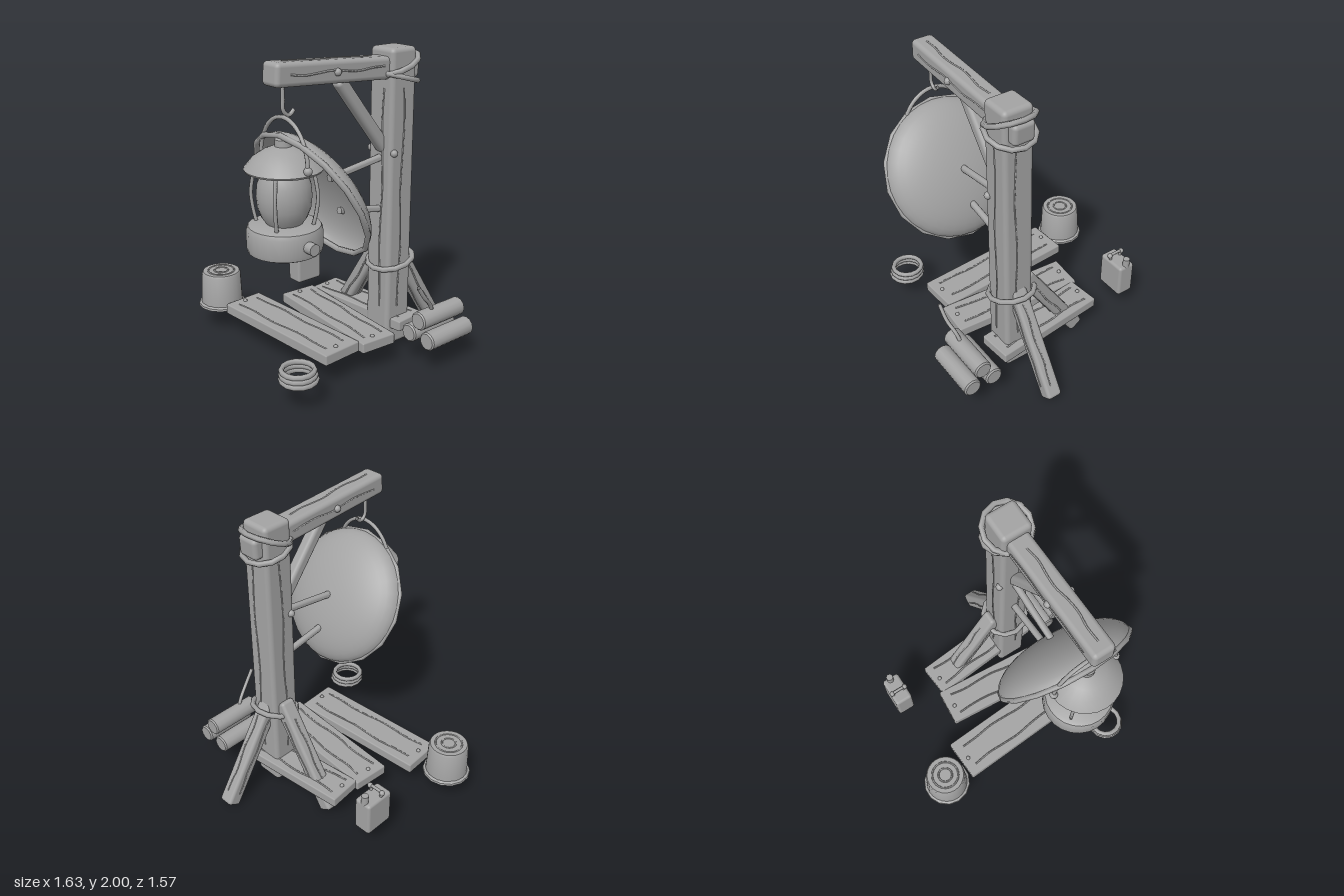
import * as THREE from 'three';
import { toCreasedNormals } from 'three/addons/utils/BufferGeometryUtils.js';
import { RoundedBoxGeometry } from 'three/addons/geometries/RoundedBoxGeometry.js';

export function createModel() {
  const model = new THREE.Group();
  const grey = new THREE.MeshStandardMaterial({ color: 0xa3a3a3, side: THREE.DoubleSide });
  grey.name = 'plain grey';
  const V = (x, y, z) => new THREE.Vector3(x, y, z);
  const UP = V(0, 1, 0);

  function add(name, geo, pos = [0, 0, 0], parent = model) {
    const m = new THREE.Mesh(geo, grey);
    m.name = name;
    m.position.set(...pos);
    parent.add(m);
    return m;
  }
  function group(name, pos, parent = model) {
    const g = new THREE.Group();
    g.name = name;
    g.position.set(...pos);
    parent.add(g);
    return g;
  }
  // Stands a y-aligned part between two points
  function between(name, a, b, makeGeo) {
    const d = b.clone().sub(a);
    const m = add(name, makeGeo(d.length()), a.clone().add(b).multiplyScalar(0.5).toArray());
    m.quaternion.setFromUnitVectors(UP, d.normalize());
    return m;
  }
  const timber = (w, d, r = 0.022) => (h) => new RoundedBoxGeometry(w, h, d, 2, r);
  const rod = (r, sides = 10) => (h) => toCreasedNormals(new THREE.CylinderGeometry(r, r, h, sides), 0.9);
  const lathe = (pts, sides = 24) =>
    toCreasedNormals(new THREE.LatheGeometry(pts.map(([r, y]) => new THREE.Vector2(r, y)), sides), 0.6);
  const tube = (pts, r, n = 20, sides = 6) =>
    new THREE.TubeGeometry(new THREE.CatmullRomCurve3(pts), n, r, sides);
  const ball = (name, r, pos, parent) => add(name, new THREE.SphereGeometry(r, 12, 8), pos, parent);

  // Thin wavy wood grain line from a to b, swaying along "sway"
  function grain(a, b, sway, parent = model, phase = 0) {
    const pts = [];
    for (let i = 0; i <= 7; i++) {
      pts.push(a.clone().lerp(b, i / 7).addScaledVector(sway, Math.sin(i * 1.7 + phase)));
    }
    add('woodGrain', tube(pts, 0.006, 24, 5), [0, 0, 0], parent);
  }

  // Post, beam and braces
  const X = 0.287, Z = -0.29;
  add('post', new RoundedBoxGeometry(0.205, 1.965, 0.205, 3, 0.03), [X, 1.0125, Z]);
  for (const s of [-1, 1]) {
    grain(V(X + 0.02, 0.3, Z + s * 0.102), V(X + 0.03, 1.75, Z + s * 0.102), V(0.008, 0, 0), model, s);
    grain(V(X + s * 0.102, 0.3, Z + 0.01), V(X + s * 0.102, 1.75, Z), V(0, 0, 0.008), model, s);
  }
  const beam = group('beam', [X, 1.893, 0.1]);
  beam.rotation.x = -0.06;
  add('beamTimber', new RoundedBoxGeometry(0.148, 0.138, 1.1, 3, 0.028), [0, 0, 0], beam);
  grain(V(0, 0.068, -0.2), V(0.01, 0.068, 0.47), V(0.01, 0, 0), beam);
  for (const s of [-1, 1]) {
    grain(V(s * 0.073, 0.01, -0.25), V(s * 0.073, 0.0, 0.46), V(0, 0.008, 0), beam, s);
    ball('beamBolt', 0.023, [s * 0.076, 0, 0.12], beam);
    ball('postBolt', 0.024, [X + s * 0.103, 1.35, -0.215]);
  }
  between('diagonalBrace', V(X, 1.84, 0.155), V(X, 1.36, -0.225), timber(0.08, 0.08, 0.025));
  between('upperDishRod', V(X, 1.25, 0.22), V(X, 1.31, -0.2), rod(0.023));
  between('lowerDishRod', V(X, 1.03, 0.14), V(X, 0.97, -0.2), rod(0.023));
  const legs = [
    between('sideLeg', V(-0.235, 0.01, -0.3), V(0.2, 0.69, -0.3), timber(0.105, 0.105)),
    between('backLeg', V(X, 0.01, -0.75), V(X, 0.67, -0.335), timber(0.105, 0.105)),
  ];
  legs.forEach((leg, i) => {
    for (const s of [-1, 1]) {
      grain(V(0.005, -0.3, s * 0.052), V(0.01, 0.27, s * 0.052), V(0.006, 0, 0), leg, i);
      grain(V(s * 0.052, -0.3, 0), V(s * 0.052, 0.27, 0), V(0, 0, 0.006), leg, i);
    }
  });

  // Rope lashings
  for (const [y, tilt] of [[1.89, 0.4], [1.81, -0.27], [0.605, 0.23]]) {
    const r = add('ropeLashing', new THREE.TorusGeometry(0.15, 0.018, 6, 12), [X, y, -0.3]);
    r.rotation.x = Math.PI / 2 + tilt;
  }

  // Hook
  add('hook', tube([V(X, 1.88, 0.557), V(X, 1.78, 0.557), V(X, 1.715, 0.555), V(X, 1.685, 0.53),
    V(X, 1.685, 0.505), V(X, 1.71, 0.48)], 0.012));

  // Reflector dish
  const dish = group('dish', [X, 1.177, 0.365]);
  dish.rotation.x = 2.07;
  const bowl = [];
  for (let i = 0; i <= 10; i++) {
    const t = (i / 10) * Math.PI / 2;
    bowl.push(new THREE.Vector2(0.455 * Math.sin(t), -0.175 * Math.cos(t)));
  }
  add('dishBowl', new THREE.LatheGeometry(bowl, 32), [0, 0, 0], dish);
  add('dishRim', new THREE.TorusGeometry(0.452, 0.018, 6, 16), [0, 0, 0], dish).rotation.x = Math.PI / 2;

  // Lantern
  const lantern = group('lantern', [0.284, 0, 0.555]);
  add('lanternBase', lathe([[0, 0.875], [0.2, 0.875], [0.22, 0.885], [0.226, 0.91], [0.226, 1.015],
    [0.215, 1.04], [0.19, 1.052], [0, 1.055]]), [0, 0, 0], lantern);
  add('globe', lathe([[0.1, 1.04], [0.135, 1.09], [0.157, 1.15], [0.164, 1.22], [0.157, 1.29],
    [0.135, 1.35], [0.1, 1.4]]), [0, 0, 0], lantern);
  add('lanternRoof', lathe([[0, 1.375], [0.225, 1.37], [0.232, 1.382], [0.18, 1.445], [0.12, 1.485],
    [0.07, 1.505], [0.05, 1.51], [0.05, 1.55], [0.04, 1.56], [0, 1.56]]), [0, 0, 0], lantern);
  for (let i = 0; i < 4; i++) {
    const a = Math.PI / 4 + 0.12 + i * Math.PI / 2;
    const p = (r, y) => V(r * Math.cos(a), y, r * Math.sin(a));
    add('cageRod', tube([p(0.17, 1.04), p(0.19, 1.13), p(0.2, 1.22), p(0.19, 1.3), p(0.17, 1.39)], 0.012), [0, 0, 0], lantern);
  }
  const arc = [];
  for (let i = 0; i <= 12; i++) {
    const t = (i / 12) * Math.PI;
    arc.push(V(0.222 * Math.cos(t), 1.405 + 0.27 * Math.sin(t), 0));
  }
  add('carryHandle', tube(arc, 0.013, 24), [0, 0, 0], lantern);
  for (const s of [-1, 1]) ball('handlePivot', 0.026, [s * 0.222, 1.407, 0], lantern);
  add('wickKnob', new THREE.CylinderGeometry(0.036, 0.036, 0.09, 12), [0.236, 0.96, 0], lantern).rotation.z = Math.PI / 2;

  // Floor planks: x, z, length, width, turn, nail offsets along the length
  const planks = [
    [0.055, -0.305, 0.81, 0.235, 0.094, [-0.36]],
    [0.09, -0.005, 0.925, 0.255, -0.075, [-0.41, 0.41]],
    [0.005, 0.318, 1.0, 0.285, 0.058, [-0.45, 0.45]],
  ];
  planks.forEach(([x, z, len, w, turn, nails], i) => {
    const p = group('plank', [x, 0.191, z]);
    p.rotation.y = turn;
    add('plankBoard', new RoundedBoxGeometry(len, 0.072, w, 1, 0.01), [0, 0, 0], p);
    for (const s of [-1, 1]) {
      grain(V(-len * 0.43, 0.036, s * w * 0.28), V(len * 0.43, 0.036, s * w * 0.25), V(0, 0, 0.008), p, i + s);
    }
    for (const n of nails) ball('nail', 0.014, [n, 0.036, 0.015], p);
  });

  // Upturned bucket with stepped rings on top
  const bucket = group('bucket', [-0.655, 0, 0.41]);
  add('bucketBody', lathe([[0, 0.157], [0.145, 0.157], [0.141, 0.2], [0.133, 0.385], [0.125, 0.4], [0, 0.4]]), [0, 0, 0], bucket);
  add('bucketLip', lathe([[0.135, 0.156], [0.163, 0.156], [0.16, 0.17], [0.14, 0.182]], 14), [0, 0, 0], bucket);
  for (const r of [0.09, 0.047]) {
    add('bucketRing', new THREE.TorusGeometry(r, 0.006, 6, 24), [0, 0.4, 0], bucket).rotation.x = Math.PI / 2;
  }

  // Fuel can
  const can = group('fuelCan', [-0.618, 0, -0.3]);
  add('canBody', new RoundedBoxGeometry(0.125, 0.245, 0.21, 2, 0.02), [0, 0.278, 0], can);
  add('canCap', rod(0.024, 12)(0.07), [-0.005, 0.42, -0.083], can);
  add('canHandle', tube([V(-0.04, 0.39, 0.025), V(-0.045, 0.43, 0.025), V(0, 0.437, 0.025),
    V(0.045, 0.43, 0.025), V(0.04, 0.39, 0.025)], 0.011), [0, 0, 0], can);
  for (const s of [-1, 1]) ball('canHandleEnd', 0.018, [s * 0.05, 0.432, 0.025], can);

  // Rope coil
  for (let i = 0; i < 3; i++) {
    const c = add('ropeCoil', new THREE.TorusGeometry(0.107 - 0.004 * i, 0.017, 6, 14),
      [0.54 - 0.004 * i, 0.173 + 0.028 * i, 0.662]);
    c.rotation.x = Math.PI / 2;
  }

  // Firewood with a twig
  for (const [x, y] of [[0.597, 0.215], [0.755, 0.215], [0.675, 0.325]]) {
    const log = add('firewoodLog', lathe([[0, -0.187], [0.052, -0.187], [0.061, -0.178], [0.061, 0.178],
      [0.052, 0.187], [0, 0.187]], 12), [x, y, -0.367]);
    log.rotation.x = Math.PI / 2;
  }
  add('twig', tube([V(0.678, 0.35, -0.31), V(0.69, 0.42, -0.27), V(0.712, 0.49, -0.2), V(0.72, 0.585, -0.13)], 0.013));
  return model;
}
